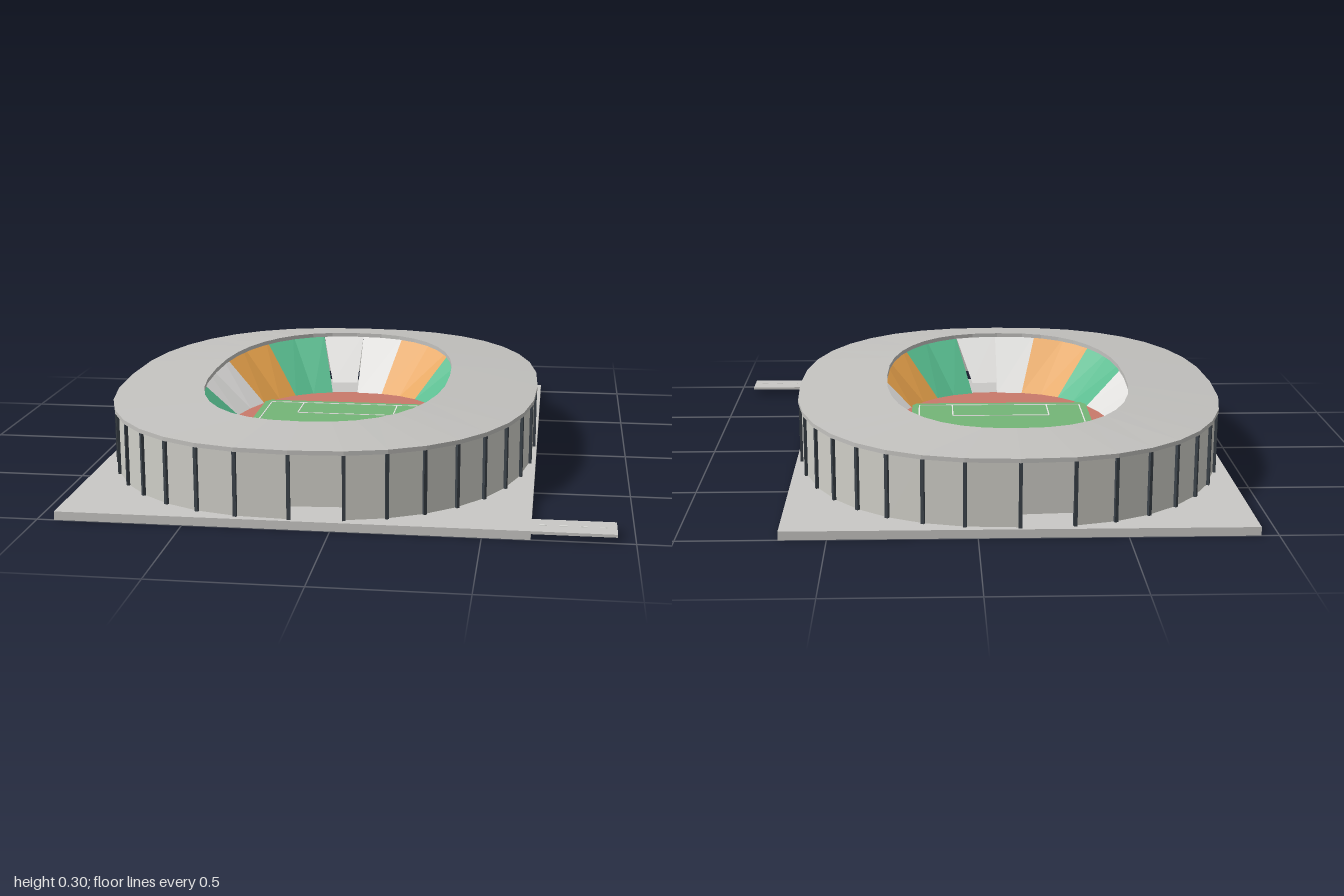
import * as THREE from 'three';

const SEG = 36;   // sides of the oval
const CX = -0.14; // centre of the oval along x
const GROUND = 0.03;

const mat = (name, color, side = THREE.FrontSide) => {
  const m = new THREE.MeshStandardMaterial({ color, side });
  m.name = name;
  return m;
};

// Point on a rounded oval with half sizes rx, rz
const oval = (i, rx, rz) => {
  const a = (i / SEG) * Math.PI * 2;
  const bend = (v) => (Math.abs(v) < 1e-9 ? 0 : Math.sign(v) * Math.abs(v) ** (2 / 2.4));
  return [rx * bend(Math.cos(a)), rz * bend(Math.sin(a))];
};

// Flat-shaded surface through a profile of [rx, rz, y] rings, for the listed segments
function sweep(profileAt, segments) {
  const pos = [];
  for (const i of segments) {
    const profile = profileAt(i);
    const at = ([rx, rz, y], k) => {
      const [x, z] = oval(k, rx, rz);
      return [x, y, z];
    };
    for (let j = 0; j + 1 < profile.length; j++) {
      const a0 = at(profile[j], i), a1 = at(profile[j], i + 1);
      const b0 = at(profile[j + 1], i), b1 = at(profile[j + 1], i + 1);
      pos.push(...a1, ...a0, ...b0, ...a1, ...b0, ...b1);
    }
  }
  const g = new THREE.BufferGeometry();
  g.setAttribute('position', new THREE.Float32BufferAttribute(pos, 3));
  g.computeVertexNormals();
  return g;
}

export function createModel() {
  const root = new THREE.Group();
  root.name = 'stadium';
  const bowl = new THREE.Group();
  bowl.name = 'bowl';
  bowl.position.x = CX;
  root.add(bowl);

  const concrete = mat('concrete', 0xc9c8c5);
  const roofGrey = mat('roofGrey', 0xc2c1be);
  const wallGrey = mat('wallGrey', 0xd0cfc8, THREE.DoubleSide);
  const steel = mat('darkSteel', 0x3c434a);
  const clay = mat('trackRed', 0xc9796a);
  const grass = mat('grass', 0x74b577);
  const paint = mat('linePaint', 0xf0f0ec);
  const seatColours = [
    mat('seatGreen', 0x55b98c, THREE.DoubleSide),
    mat('seatWhite', 0xdedddb, THREE.DoubleSide),
    mat('seatOrange', 0xdf9c48, THREE.DoubleSide),
  ];

  const add = (parent, name, geometry, material, x = 0, y = 0, z = 0) => {
    const m = new THREE.Mesh(geometry, material);
    m.name = name;
    m.position.set(x, y, z);
    parent.add(m);
    return m;
  };
  const box = (parent, name, material, w, h, d, x, y, z) =>
    add(parent, name, new THREE.BoxGeometry(w, h, d), material, x, y, z);

  // Ground slab and access road
  box(root, 'groundSlab', concrete, 1.6, GROUND, 2, CX, GROUND / 2, 0);
  box(root, 'accessRoad', concrete, 0.28, 0.01, 0.125, 0.8, 0.025, 0.9375);
  for (let i = 0; i < 4; i++) {
    box(root, 'roadDash', paint, 0.025, 0.002, 0.004, 0.7 + i * 0.065, 0.031, 0.9375);
  }

  // Running track
  const outline = [];
  for (let i = 0; i < SEG; i++) outline.push(new THREE.Vector2(...oval(i, 0.475, 0.755)));
  const track = new THREE.ShapeGeometry(new THREE.Shape(outline)).rotateX(-Math.PI / 2);
  add(bowl, 'track', track, clay, 0, 0.033, 0);

  // Pitch and its markings
  box(bowl, 'pitch', grass, 0.74, 0.006, 1.12, 0, 0.034, 0);
  const line = (w, d, x, z) => box(bowl, 'pitchLine', paint, w, 0.002, d, x, 0.038, z);
  const T = 0.005;
  line(0.68, T, 0, 0);
  for (const s of [-1, 1]) {
    line(T, 1.05, s * 0.34, 0);
    line(0.68, T, 0, s * 0.525);
    line(0.4, T, 0, s * 0.36);
    for (const t of [-1, 1]) line(T, 0.165, t * 0.2, s * 0.4425);
  }
  const circle = new THREE.RingGeometry(0.0875, 0.0925, 32).rotateX(-Math.PI / 2);
  add(bowl, 'centreCircle', circle, paint, 0, 0.039, 0);

  // Seating: two-segment blocks in repeating colours, raised above the four gates
  const isGate = (i) => i % 9 === 8;
  const all = Array.from({ length: SEG }, (_, i) => i);
  seatColours.forEach((material, c) => {
    const mine = all.filter((i) => Math.floor(i / 2) % 3 === c);
    const seats = sweep((i) => [
      [0.775, 0.97, 0.252],
      [0.462, 0.742, isGate(i) ? 0.08 : GROUND],
    ], mine);
    add(bowl, 'seatingStand', seats, material);
  });

  // Outer wall with an opening at each gate
  const wall = sweep((i) => [
    [0.785, 0.98, isGate(i) ? 0.075 : GROUND],
    [0.785, 0.98, 0.258],
  ], all);
  add(bowl, 'outerWall', wall, wallGrey);

  // Pillars at the wall corners, turned to follow the oval
  const pillar = new THREE.BoxGeometry(0.012, 0.228, 0.014);
  for (const i of all) {
    const [x, z] = oval(i, 0.788, 0.983);
    const [x0, z0] = oval(i - 1, 0.788, 0.983);
    const [x1, z1] = oval(i + 1, 0.788, 0.983);
    const p = add(bowl, 'wallPillar', pillar, steel, x, GROUND + 0.114, z);
    p.rotation.y = Math.atan2(-(z1 - z0), x1 - x0);
  }

  // Ring roof rising towards the opening
  const roof = sweep(() => [
    [0.797, 0.992, 0.256],
    [0.797, 0.992, 0.271],
    [0.46, 0.74, 0.302],
    [0.46, 0.74, 0.286],
    [0.797, 0.992, 0.256],
  ], all);
  add(bowl, 'ringRoof', roof, roofGrey);

  return root;
}
